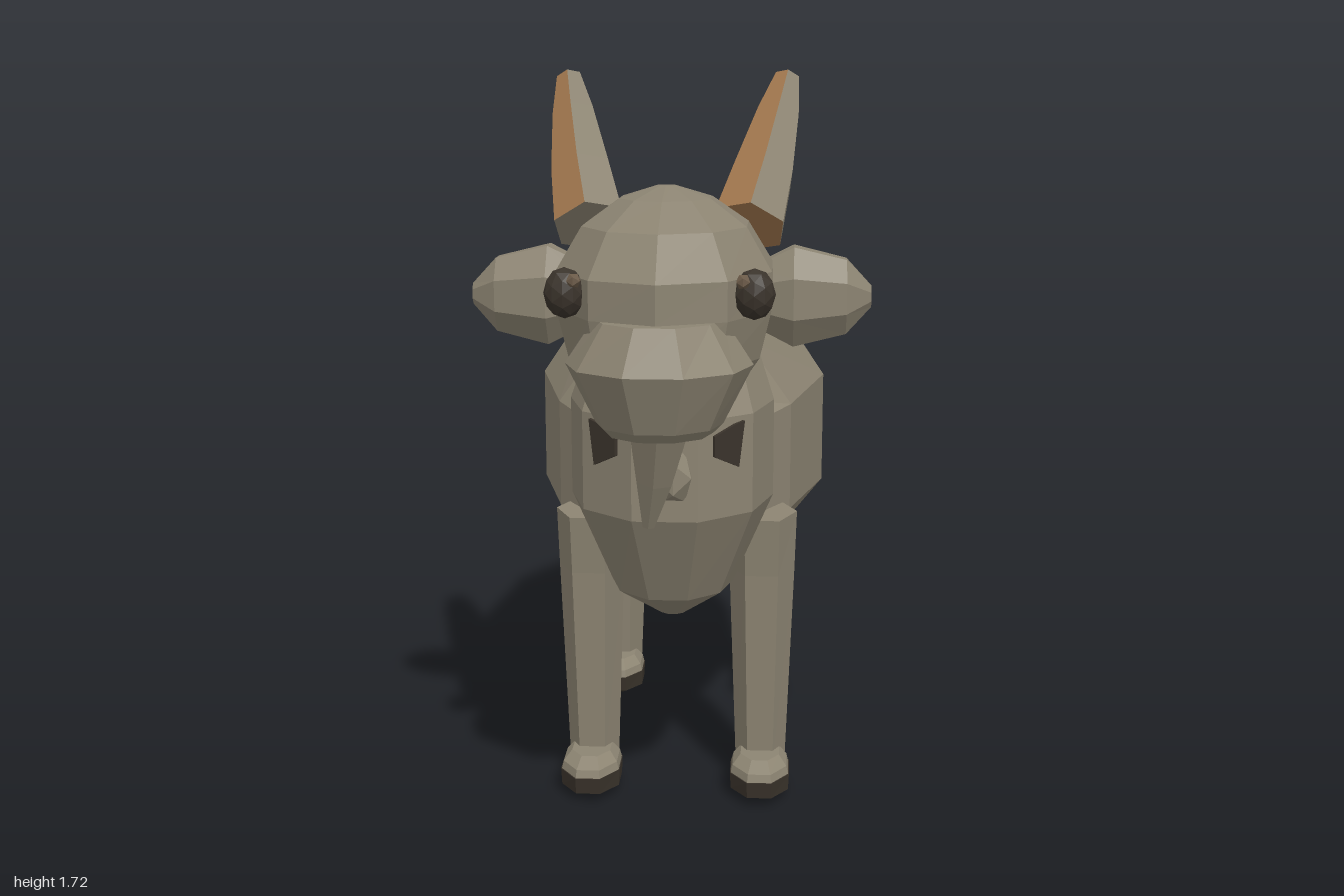
import * as THREE from 'three';

const V = (x, y, z) => new THREE.Vector3(x, y, z);
const material = (name, color) => {
  const m = new THREE.MeshStandardMaterial({ color, flatShading: true });
  m.name = name;
  return m;
};

// Closed faceted skin through rings of points; always wound outwards
function loft(rings) {
  const tris = [];
  const n = rings[0].length;
  for (let i = 0; i < rings.length - 1; i++) {
    for (let j = 0; j < n; j++) {
      const k = (j + 1) % n, a = rings[i], b = rings[i + 1];
      tris.push([a[j], b[j], b[k]], [a[j], b[k], a[k]]);
    }
  }
  for (const [ring, end] of [[rings[0], false], [rings[rings.length - 1], true]]) {
    const c = ring.reduce((s, p) => s.add(p), V(0, 0, 0)).divideScalar(n);
    ring.forEach((p, j) => {
      const q = ring[(j + 1) % n];
      tris.push(end ? [c, q, p] : [c, p, q]);
    });
  }
  const o = rings[0][0];
  const volume = tris.reduce((s, [a, b, c]) => s + a.clone().sub(o).dot(
    b.clone().sub(o).cross(c.clone().sub(o))), 0);
  const pts = tris.flatMap(([a, b, c]) => (volume < 0 ? [a, c, b] : [a, b, c]));
  const g = new THREE.BufferGeometry().setFromPoints(pts);
  g.computeVertexNormals();
  return g;
}

// Horizontal elliptical ring
function ellipse([y, cz, rx, rz], n, turn = 0) {
  return Array.from({ length: n }, (_, i) => {
    const a = ((i + turn) / n) * Math.PI * 2;
    return V(Math.sin(a) * rx, y, cz + Math.cos(a) * rz);
  });
}

// Limb through stations [x, y, z, radius, second radius], rings square to its axis
function limb(stations, n, turn = 0) {
  const axis = V(...stations[stations.length - 1]).sub(V(...stations[0])).normalize();
  const q = new THREE.Quaternion().setFromUnitVectors(V(0, 1, 0), axis);
  return loft(stations.map(([x, y, z, r, r2 = r]) =>
    ellipse([0, 0, r, r2], n, turn).map((p) => p.applyQuaternion(q).add(V(x, y, z)))));
}

export function createModel() {
  const coat = material('coat', 0x8c8472);
  const horn = material('horn brown', 0xa0764d);
  const dark = material('dark hoof', 0x3a332b);
  const glint = material('eye glint', 0x6b5a48);
  const group = new THREE.Group();
  const add = (name, geometry, mat = coat) => {
    const m = new THREE.Mesh(geometry, mat);
    m.name = name;
    group.add(m);
    return m;
  };

  // Barrel body: z, half width, top, upper side, lower side, bottom
  const body = [
    [0.34, 0.19, 1.0, 0.92, 0.68, 0.54],
    [0.2, 0.28, 1.15, 0.94, 0.68, 0.45],
    [-0.14, 0.365, 1.24, 0.95, 0.67, 0.39],
    [-0.57, 0.31, 1.17, 0.95, 0.67, 0.45],
    [-0.8, 0.175, 1.01, 0.95, 0.68, 0.57],
    [-0.88, 0.05, 0.96, 0.94, 0.69, 0.67],
  ].map(([z, w, top, hi, lo, bottom]) => {
    const half = [
      [0.6 * w, top - (top - hi) * 0.25], [w, hi], [w, lo],
      [0.52 * w, bottom + (lo - bottom) * 0.22],
    ];
    const pts = [[0, top], ...half, [0, bottom],
      ...half.slice().reverse().map(([x, y]) => [-x, y])];
    return pts.map(([x, y]) => V(x - 0.01, y, z));
  });
  add('body', loft(body));

  // Chest and neck: y, centre z, half width, half depth
  add('chest', loft([
    [0.49, 0.42, 0.03, 0.03], [0.57, 0.43, 0.14, 0.165], [0.78, 0.44, 0.23, 0.263],
    [1.0, 0.44, 0.23, 0.263], [1.15, 0.4, 0.18, 0.21], [1.27, 0.41, 0.13, 0.16],
  ].map((r) => ellipse(r, 10, 0.5))));

  // Head and muzzle
  add('head', loft([
    [1.03, 0.64, 0.13, 0.2], [1.14, 0.61, 0.21, 0.3], [1.24, 0.605, 0.235, 0.32],
    [1.32, 0.6, 0.235, 0.325], [1.41, 0.61, 0.18, 0.24], [1.465, 0.61, 0.1, 0.13],
    [1.49, 0.61, 0.02, 0.02],
  ].map((r) => ellipse(r, 10))));
  add('muzzle', loft([
    [1.01, 0.83, 0.11, 0.11], [1.03, 0.83, 0.13, 0.13], [1.15, 0.83, 0.19, 0.178],
    [1.24, 0.82, 0.13, 0.137],
  ].map((r) => ellipse(r, 10, 0.5))));
  add('beard', limb([
    [-0.03, 0.785, 0.74, 0.014], [-0.015, 0.89, 0.76, 0.042], [0, 1.04, 0.79, 0.075],
  ], 6));

  // Small bell-shaped tuft on the chest
  const tuft = add('chestTuft', new THREE.IcosahedronGeometry(0.05, 0));
  tuft.scale.set(0.9, 1.3, 0.8);
  tuft.position.set(0.02, 0.88, 0.685);

  // Tail
  add('tail', limb([[0.01, 0.93, -0.79, 0.085], [0.025, 1.215, -0.973, 0.031]], 6));

  for (const s of [1, -1]) {
    const side = s > 0 ? 'left' : 'right';

    // Horns, brown on one flank and the tip
    const base = [s * 0.17, 1.395, 0.52], tip = [s * 0.25, 1.705, 0.23];
    const g = limb([
      [...base, 0.085], [s * 0.2, 1.5, 0.42, 0.073], [s * 0.23, 1.62, 0.305, 0.053],
      [...tip, 0.031],
    ], 6);
    const axis = V(...tip).sub(V(...base)).normalize();
    const normal = g.getAttribute('normal');
    for (let i = 0; i < normal.count; i += 3) {
      const n = V(0, 0, 0).fromBufferAttribute(normal, i);
      g.addGroup(i, 3, n.x < -0.1 || n.dot(axis) > 0.8 ? 1 : 0);
    }
    add(side + 'Horn', g, [coat, horn]);

    // Ears
    add(side + 'Ear', limb([
      [s * 0.18, 1.24, 0.47, 0.07, 0.05], [s * 0.27, 1.24, 0.47, 0.118, 0.083],
      [s * 0.385, 1.24, 0.47, 0.088, 0.062], [s * 0.44, 1.24, 0.47, 0.025, 0.02],
    ], 8, 0.5));

    // Eyes
    const eye = add(side + 'Eye', new THREE.IcosahedronGeometry(0.045, 1), dark);
    eye.scale.set(0.95, 1.15, 0.85);
    eye.position.set(s * 0.19, 1.29, 0.82);
    add(side + 'EyeGlint', new THREE.IcosahedronGeometry(0.016, 0), glint)
      .position.set(s * 0.168, 1.318, 0.848);

    // Dark patches on the slanted chest faces
    const shape = new THREE.Shape([[-0.04, -0.02], [-0.04, 0.025], [0.015, 0.045],
      [0.04, 0.05], [0.025, -0.05]].map(([x, y]) => new THREE.Vector2(s * x, y)));
    const patch = add(side + 'ChestPatch',
      new THREE.ExtrudeGeometry(shape, { depth: 0.008, bevelEnabled: false }), dark);
    patch.position.set(s * 0.133, 0.94, 0.643);
    patch.rotation.y = s * 0.686;

    // Legs with two-tone hooves
    for (const [end, z, top] of [['Front', 0.285, 0.7], ['Back', -0.375, 0.6]]) {
      const x = s * 0.205, name = side + end, hz = z + 0.05;
      add(name + 'Leg', limb([
        [x, 0.05, z - 0.012, 0.06, 0.064], [x, top - 0.14, z + 0.003, 0.078, 0.085],
        [x, top, z + 0.01, 0.082, 0.095],
      ], 6, 0.5));
      add(name + 'HoofTop', loft([
        [0.065, hz, 0.075, 0.105], [0.085, hz, 0.07, 0.1], [0.105, hz - 0.01, 0.05, 0.07],
      ].map((r) => ellipse(r, 8, 0.5).map((p) => p.add(V(x, 0, 0))))));
      add(name + 'Hoof', loft([
        [0.003, hz, 0.035, 0.05], [0.025, hz, 0.075, 0.1], [0.066, hz, 0.077, 0.108],
      ].map((r) => ellipse(r, 8, 0.5).map((p) => p.add(V(x, 0, 0))))), dark);
    }
  }
  return group;
}
